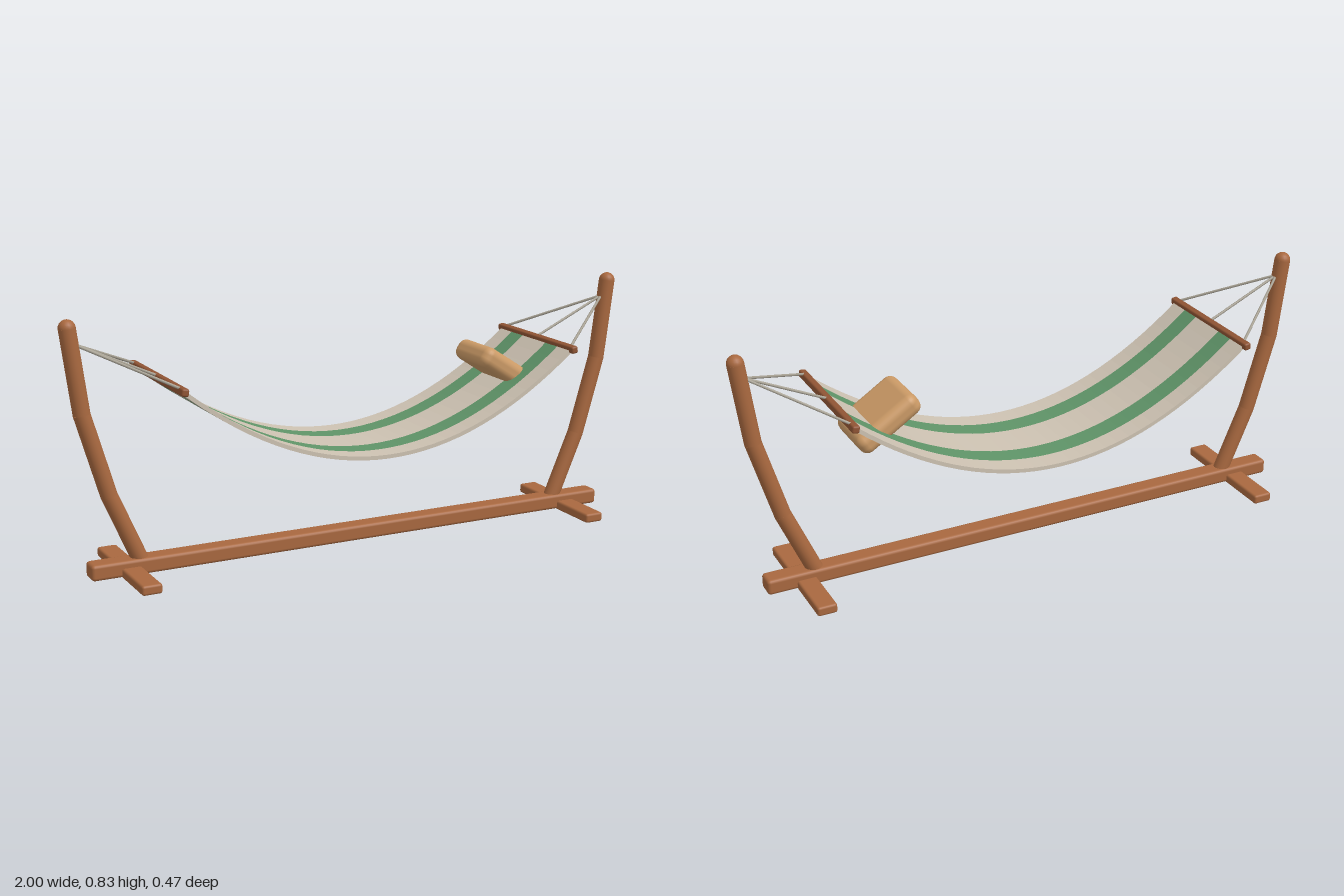
import * as THREE from 'three';
import { RoundedBoxGeometry } from 'three/addons/geometries/RoundedBoxGeometry.js';

const material = (color) => new THREE.MeshStandardMaterial({ color });

export function createModel() {
  const model = new THREE.Group();
  model.name = 'hammock';
  const wood = material(0xa8683f);
  const barWood = material(0x8f5434);
  const cream = material(0xcdc2b2);
  const green = material(0x5f9468);
  const rope = material(0xa8a294);
  const tan = material(0xcb9a66);

  const add = (name, geometry, mat, x = 0, y = 0, z = 0) => {
    const mesh = new THREE.Mesh(geometry, mat);
    mesh.name = name;
    mesh.position.set(x, y, z);
    model.add(mesh);
    return mesh;
  };

  // Round rod between two points, lengthened a little at both ends
  const rod = (name, a, b, radius, sides, mat, extra = 0) => {
    const dir = b.clone().sub(a);
    const geometry = new THREE.CylinderGeometry(radius, radius, dir.length() + 2 * extra, sides);
    const mesh = add(name, geometry, mat);
    mesh.position.copy(a).add(b).multiplyScalar(0.5);
    mesh.quaternion.setFromUnitVectors(new THREE.Vector3(0, 1, 0), dir.normalize());
  };

  // Base beam
  add('baseBeam', new RoundedBoxGeometry(1.87, 0.052, 0.066, 2, 0.011), wood, 0, 0.029, 0);

  const postPoints = [[0.76, 0.03], [0.861, 0.265], [0.938, 0.53], [0.973, 0.8]];
  for (const side of [-1, 1]) {
    const point = (x, y, z = 0) => new THREE.Vector3(side * x, y, z);

    // Cross foot
    add('crossFoot', new RoundedBoxGeometry(0.066, 0.032, 0.43, 2, 0.008), wood, side * 0.805, 0.016, 0);

    // Bent post in three straight lengths with a domed top
    for (let i = 0; i < 3; i++) {
      rod('postSegment', point(...postPoints[i]), point(...postPoints[i + 1]), 0.027, 20, wood, i < 2 ? 0.003 : 0);
    }
    add('postCap', new THREE.SphereGeometry(0.027, 20, 12), wood, side * 0.973, 0.8, 0);

    // Spreader bar
    const bar = add('spreaderBar', new RoundedBoxGeometry(0.024, 0.024, 0.47, 2, 0.006), barWood, side * 0.69, 0.62, 0);
    bar.rotation.z = side * 0.15;

    // Ropes fanning out from the post
    for (const z of [-0.205, 0, 0.205]) {
      rod('rope', point(0.952, 0.748), point(0.692, 0.627, z), 0.0045, 8, rope);
    }
  }

  // Sagging cloth: one extruded curved band per stripe
  const halfSpan = 0.69, steps = 32, thickness = 0.013;
  const edge = (offset) => Array.from({ length: steps + 1 }, (_, i) => {
    const x = halfSpan * (2 * i / steps - 1);
    const slope = 2 * 0.283 * x / halfSpan ** 2;
    const n = Math.hypot(slope, 1);
    return new THREE.Vector2(x - offset * slope / n, 0.335 + 0.283 * (x / halfSpan) ** 2 + offset / n);
  });
  const section = new THREE.Shape([...edge(-thickness / 2), ...edge(thickness / 2).reverse()]);
  const unit = 0.43 / 6;
  const bands = [[-3, -2], [-2, -1], [-1, 1], [1, 2], [2, 3]];
  bands.forEach(([from, to], i) => {
    const geometry = new THREE.ExtrudeGeometry(section, { depth: (to - from) * unit, bevelEnabled: false });
    add(i % 2 ? 'clothStripe' : 'clothBand', geometry, i % 2 ? green : cream, 0, 0, from * unit);
  });

  // Pillow
  const pillow = add('pillow', new RoundedBoxGeometry(0.238, 0.072, 0.206, 3, 0.029), tan, 0.526, 0.538, 0);
  pillow.rotation.z = -0.575;

  return model;
}
